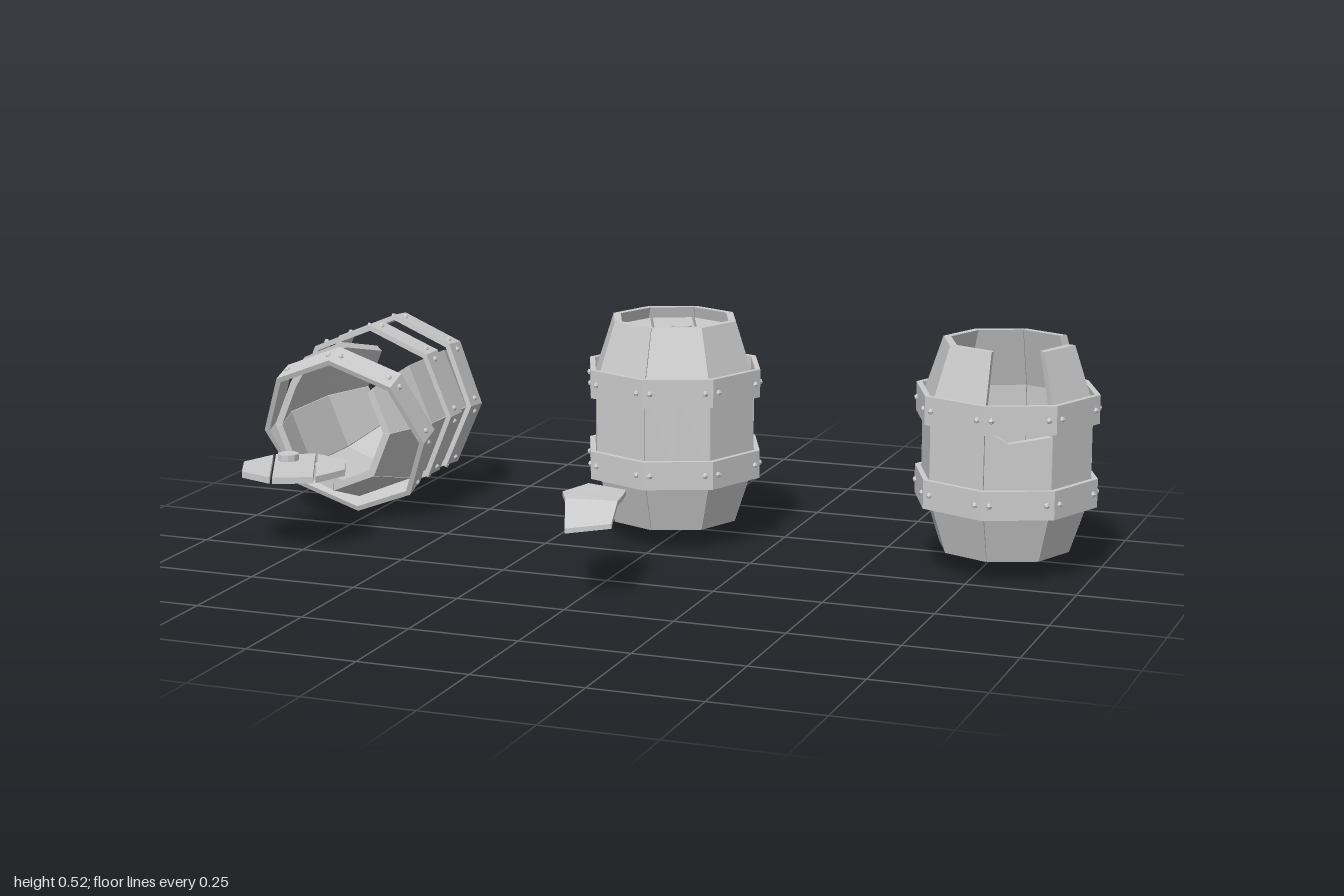
import * as THREE from 'three';

const mat = new THREE.MeshStandardMaterial({ color: 0xcccccc, flatShading: true });
const STEP = Math.PI / 4;
const HALF = 0.2355;      // half barrel height
const WALL = 0.018;       // stave thickness

function mesh(geo, name, parent) {
  const m = new THREE.Mesh(geo, mat);
  m.name = name;
  parent.add(m);
  return m;
}

// Closed solid through a list of cross-sections (outer points, then inner points reversed)
function loft(rings) {
  const pos = [];
  const quad = (a, b, c, d) => [a, b, c, a, c, d].forEach(p => pos.push(...p));
  const n = rings[0].length;
  for (let i = 0; i < rings.length - 1; i++) {
    for (let j = 0; j < n; j++) {
      const k = (j + 1) % n;
      quad(rings[i][j], rings[i + 1][j], rings[i + 1][k], rings[i][k]);
    }
  }
  const first = rings[0], last = rings[rings.length - 1];
  for (let j = 0; j < n / 2 - 1; j++) {
    quad(first[j], first[j + 1], first[n - 2 - j], first[n - 1 - j]);
    quad(last[n - 1 - j], last[n - 2 - j], last[j + 1], last[j]);
  }
  const geo = new THREE.BufferGeometry();
  geo.setAttribute('position', new THREE.Float32BufferAttribute(pos, 3));
  geo.computeVertexNormals();
  return geo;
}

// One stave of the octagon; cut = { u, tops } breaks it off along a jagged edge
function staveGeometry(k, cut) {
  const cols = [0.006, cut ? cut.u : 0.5, 0.994];
  const point = (r, u, y) => {
    const a = k * STEP, b = a + STEP;
    return [
      r * ((1 - u) * Math.cos(a) + u * Math.cos(b)), y,
      r * ((1 - u) * Math.sin(a) + u * Math.sin(b))];
  };
  const ring = (r, ys) => [
    ...cols.map((u, i) => point(r, u, ys[i])),
    ...cols.map((u, i) => point(r - WALL, u, ys[i])).reverse()];
  const level = y => [y, y, y];
  const rings = [ring(0.15, level(-HALF)), ring(0.195, level(-0.1))];
  if (cut) rings.push(ring(0.195, cut.tops));
  else rings.push(ring(0.195, level(0.1)), ring(0.15, level(HALF)));
  return loft(rings);
}

function staves(parent, missing = [], cuts = {}) {
  for (let k = 0; k < 8; k++) {
    if (!missing.includes(k)) mesh(staveGeometry(k, cuts[k]), cuts[k] ? 'brokenStave' : 'stave', parent);
  }
}

// Octagonal iron band with a pair of rivets on each face
function hoop(parent) {
  const R = 0.21, H = 0.065;
  const group = new THREE.Group();
  group.name = 'hoop';
  const octagon = (P, r) => new P(Array.from({ length: 8 }, (_, i) =>
    new THREE.Vector2(r * Math.cos(i * STEP), r * Math.sin(i * STEP))));
  const shape = octagon(THREE.Shape, R);
  shape.holes.push(octagon(THREE.Path, 0.197));
  const geo = new THREE.ExtrudeGeometry(shape, { depth: H, bevelEnabled: false });
  geo.translate(0, 0, -H / 2).rotateX(-Math.PI / 2);
  mesh(geo, 'band', group);
  const rivet = new THREE.SphereGeometry(0.007, 6, 4);
  for (let k = 0; k < 8; k++) {
    const a = (k + 0.5) * STEP, d = R * Math.cos(STEP / 2);
    for (const s of [-0.063, 0.063]) {
      mesh(rivet, 'rivet', group).position.set(
        d * Math.cos(a) - s * Math.sin(a), 0, d * Math.sin(a) + s * Math.cos(a));
    }
  }
  parent.add(group);
  return group;
}

// Octagonal lid of three planks, with an optional bung
function lid(parent, name, withBung) {
  const group = new THREE.Group();
  group.name = name;
  const T = 0.015;
  const side = s => [[0.052, 0.114], [0.117, 0.049], [0.117, -0.049], [0.052, -0.114]]
    .map(([x, z]) => [s * x, z]);
  const middle = [[-0.046, 0.117], [0.046, 0.117], [0.046, -0.117], [-0.046, -0.117]];
  for (const outline of [side(-1), middle, side(1)]) {
    const shape = new THREE.Shape(outline.map(([x, z]) => new THREE.Vector2(x, z)));
    const geo = new THREE.ExtrudeGeometry(shape, { depth: T, bevelEnabled: false });
    geo.translate(0, 0, -T / 2).rotateX(-Math.PI / 2);
    mesh(geo, 'lidPlank', group);
  }
  if (withBung) {
    mesh(new THREE.CylinderGeometry(0.025, 0.025, 0.036, 10), 'bung', group)
      .position.set(0.015, 0.005, 0.058);
  }
  group.rotation.y = Math.PI / 8;
  parent.add(group);
  return group;
}

// Standing barrel with two hoops and a bottom
function standingBarrel(parent, name, x, cuts) {
  const barrel = new THREE.Group();
  barrel.name = name;
  barrel.position.set(x, 0.2875, -0.18);
  staves(barrel, [], cuts);
  for (const y of [-0.095, 0.095]) hoop(barrel).position.y = y;
  lid(barrel, 'bottom', false).position.y = -0.205;
  parent.add(barrel);
  return barrel;
}

export function createModel() {
  const model = new THREE.Group();
  model.name = 'barrels';

  // Whole barrel
  const whole = standingBarrel(model, 'wholeBarrel', 0, {});
  lid(whole, 'lid', true).position.y = 0.205;

  // Open barrel with two broken staves
  standingBarrel(model, 'brokenBarrel', 0.79, {
    1: { u: 0.65, tops: [0.055, 0.04, 0.07] },
    7: { u: 0.38, tops: [0, -0.073, 0] },
  });

  // Barrel lying on its side, its two upper staves gone
  const lying = new THREE.Group();
  lying.name = 'lyingBarrel';
  lying.position.set(-0.79, 0.235, -0.23);
  lying.rotation.x = Math.PI / 2;
  staves(lying, [5, 6]);
  model.add(lying);

  // Its slipped hoops: y, z, tilt
  for (const [y, z, tilt] of [[0.235, -0.36, -0.08], [0.235, -0.24, 0], [0.214, -0.083, 0.34]]) {
    const h = hoop(model);
    h.position.set(-0.79, y, z);
    h.rotation.x = Math.PI / 2 + tilt;
  }

  // Its fallen lid
  const fallen = lid(model, 'fallenLid', true);
  fallen.position.set(-0.79, 0.183, 0.205);
  fallen.rotation.y = Math.PI * 1.14;

  // Loose stave piece: left and right edge points from back to front
  const edges = [
    [[-0.067, 0.207, 0.187], [0.035, 0.208, 0.22]],
    [[-0.088, 0.21, 0.29], [0.05, 0.21, 0.28]],
    [[-0.056, 0.212, 0.352], [0.06, 0.212, 0.336]],
    [[-0.013, 0.174, 0.463], [0.08, 0.184, 0.425]],
  ];
  const under = ([x, y, z]) => [x, y - 0.011, z];
  mesh(loft(edges.map(([l, r]) => [l, r, under(r), under(l)])), 'stavePiece', model);

  return model;
}
